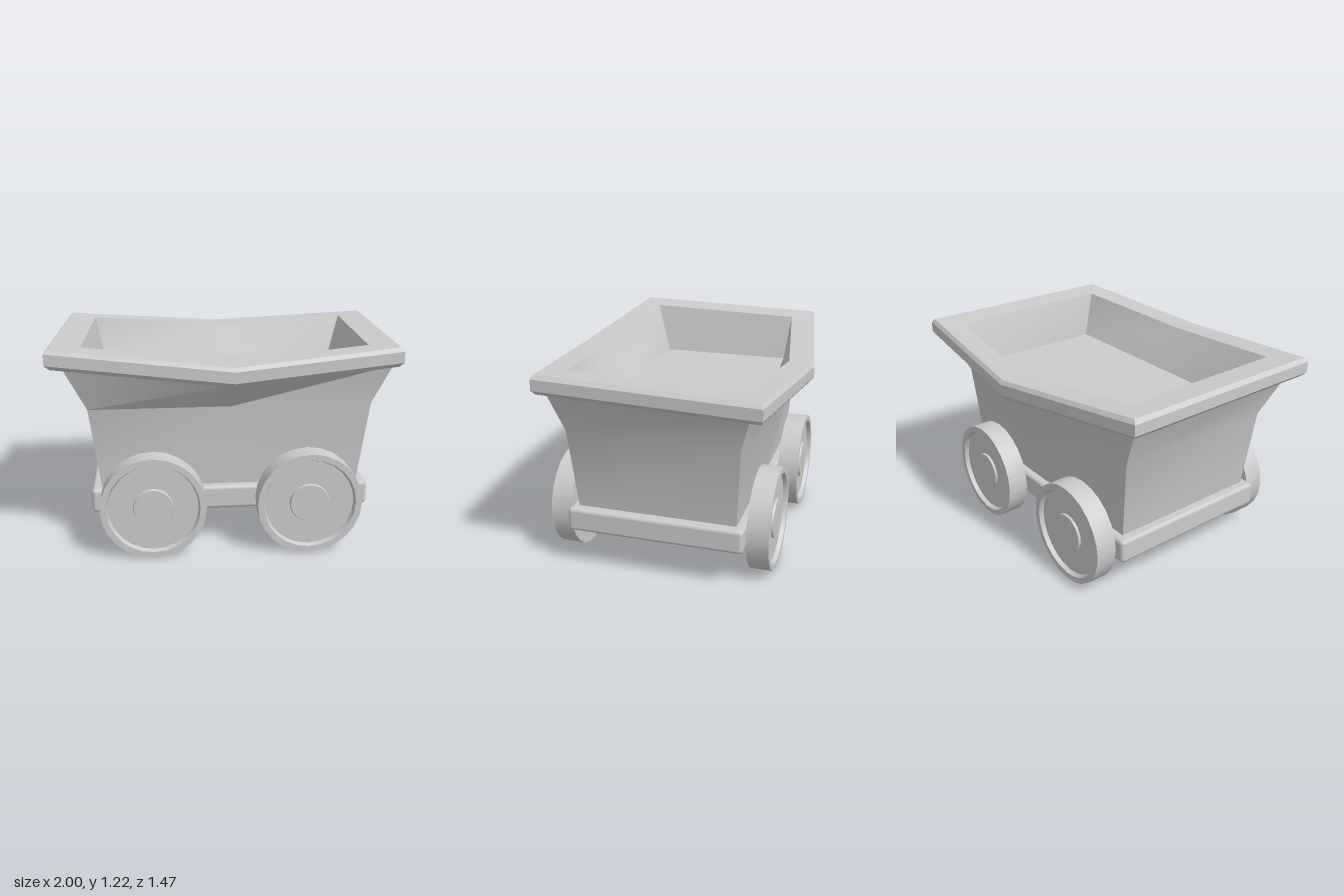
import * as THREE from 'three';
import { toCreasedNormals } from 'three/addons/utils/BufferGeometryUtils.js';
import { RoundedBoxGeometry } from 'three/addons/geometries/RoundedBoxGeometry.js';

const material = new THREE.MeshStandardMaterial({ color: 0xcccccc });

// Skin a stack of six-cornered rings; the last ring may be closed with a cap.
function loft(name, rings, cap = false) {
  const n = rings[0].length;
  const index = [];
  for (let i = 0; i < rings.length - 1; i++) {
    for (let j = 0; j < n; j++) {
      const a = i * n + j, b = i * n + (j + 1) % n;
      index.push(a, b, b + n, a, b + n, a + n);
    }
  }
  if (cap) {
    const s = (rings.length - 1) * n;
    for (let j = 1; j < n - 1; j++) index.push(s, s + j, s + j + 1);
  }
  const geometry = new THREE.BufferGeometry();
  geometry.setAttribute('position', new THREE.Float32BufferAttribute(rings.flat(2), 3));
  geometry.setIndex(index);
  const mesh = new THREE.Mesh(toCreasedNormals(geometry, 0.5), material);
  mesh.name = name;
  return mesh;
}

// Copy a ring, pulled inward in plan and lowered.
const shift = (ring, scale, drop) => ring.map(([x, y, z]) => [x * scale, y - drop, z * scale]);

function createWheel() {
  const profile = [[0, 0], [0.3, 0], [0.3, 0.125], [0.265, 0.125], [0.255, 0.1],
    [0.115, 0.1], [0.11, 0.113], [0, 0.113]].map(([r, y]) => new THREE.Vector2(r, y));
  const geometry = new THREE.LatheGeometry(profile, 24);
  geometry.rotateX(Math.PI / 2);
  geometry.deleteAttribute('normal');
  geometry.deleteAttribute('uv');
  return new THREE.Mesh(toCreasedNormals(geometry, 0.5), material);
}

export function createModel() {
  const group = new THREE.Group();

  // Ring order: front right, front middle, front left, back left, back middle, back right
  const bodyBottom = [[-0.74, 0.36, 0.46], [0, 0.36, 0.46], [0.74, 0.36, 0.46],
    [0.74, 0.36, -0.46], [0, 0.36, -0.46], [-0.74, 0.36, -0.46]];
  const bodyWaist = [[-0.8, 0.85, 0.49], [0, 0.85, 0.49], [0.8, 0.85, 0.49],
    [0.8, 0.85, -0.49], [0, 0.85, -0.57], [-0.8, 0.85, -0.49]];
  const bodyTop = [[-0.92, 1.11, 0.56], [0, 1.02, 0.65], [0.9, 1.08, 0.54],
    [0.92, 1.065, -0.56], [0, 1.0, -0.645], [-0.91, 1.09, -0.53]];
  const rimOuter = [[-1, 1.225, 0.635], [0, 1.13, 0.73], [0.94, 1.195, 0.61],
    [1, 1.175, -0.64], [0, 1.11, -0.735], [-0.975, 1.2, -0.585]];
  const rimInner = [[-0.82, 1.207, 0.5], [0, 1.13, 0.575], [0.77, 1.184, 0.475],
    [0.82, 1.165, -0.51], [0, 1.11, -0.585], [-0.8, 1.187, -0.455]];
  const floor = [[-0.74, 0.91, 0.4], [0, 0.91, 0.4], [0.74, 0.91, 0.4],
    [0.735, 0.91, -0.42], [0, 0.91, -0.48], [-0.74, 0.91, -0.42]];

  // Flared tub, bevelled lip and inner tray
  group.add(loft('body', [bodyBottom, bodyWaist, bodyTop]));
  group.add(loft('rim', [bodyTop, shift(rimOuter, 0.975, 0.11), shift(rimOuter, 1, 0.085),
    shift(rimOuter, 1, 0.022), shift(rimOuter, 0.98, 0), rimInner]));
  group.add(loft('tray', [rimInner, floor], true));

  // Chassis slab
  const chassis = new THREE.Mesh(new RoundedBoxGeometry(1.6, 0.14, 1.02, 2, 0.022), material);
  chassis.position.y = 0.305;
  chassis.name = 'chassis';
  group.add(chassis);

  // Four wheels
  for (const side of [1, -1]) {
    for (const x of [-0.45, 0.44]) {
      const wheel = createWheel();
      wheel.position.set(x, 0.302, 0.515 * side);
      if (side < 0) wheel.rotation.y = Math.PI;
      wheel.name = (side > 0 ? 'front' : 'back') + (x > 0 ? 'Left' : 'Right') + 'Wheel';
      group.add(wheel);
    }
  }
  return group;
}
